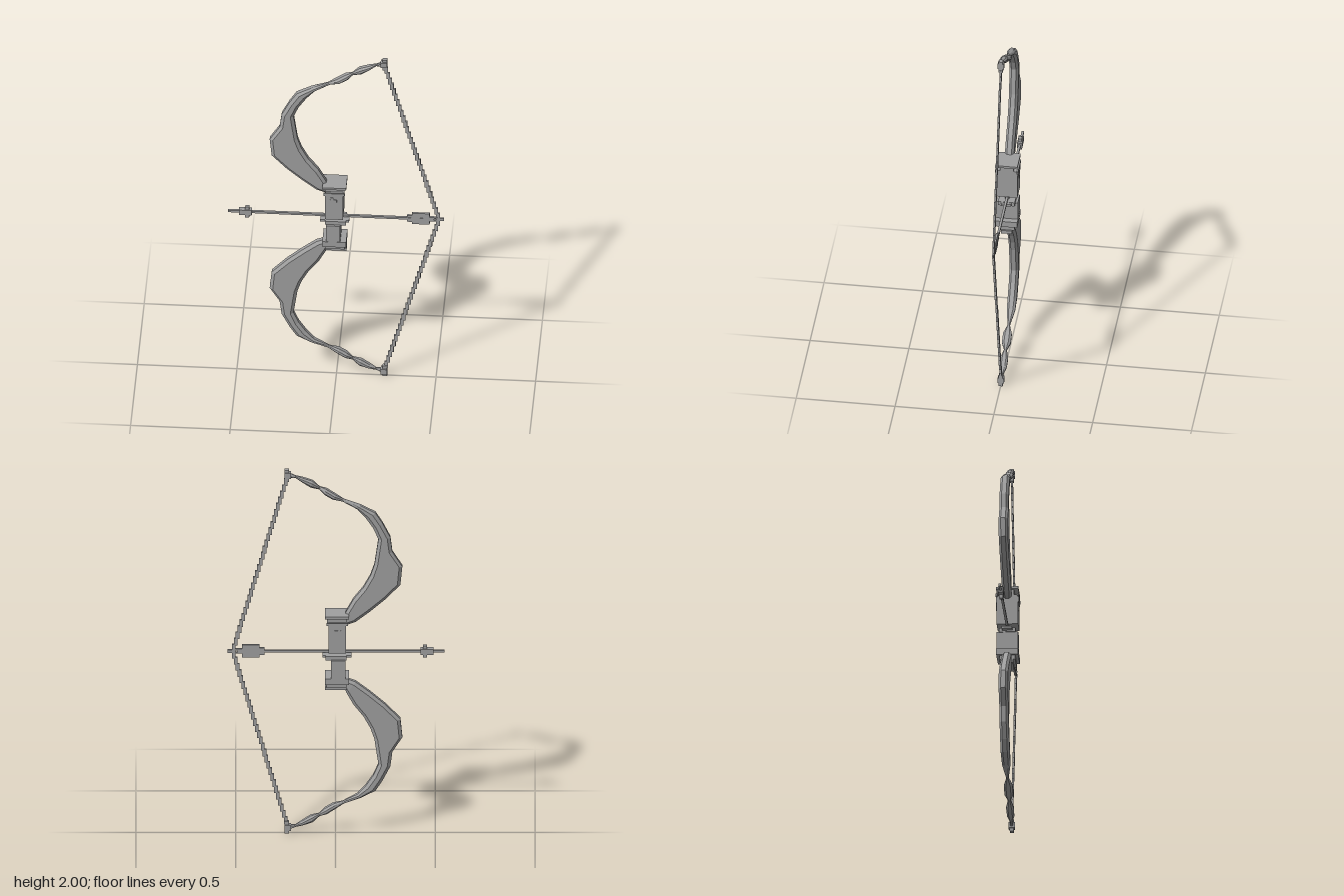
import * as THREE from 'three';

const grey = new THREE.MeshStandardMaterial({ color: 0xa0a0a0 });
grey.name = 'grey';

// Limb sections from grip to tip: outer x, y, inner x, y, half depth
const SECTIONS = [
  [-0.06, 1.15, -0.04, 1.19, 0.02], [-0.10, 1.165, -0.055, 1.225, 0.023],
  [-0.17, 1.22, -0.09, 1.29, 0.023], [-0.25, 1.29, -0.14, 1.355, 0.023],
  [-0.325, 1.37, -0.175, 1.42, 0.023], [-0.335, 1.47, -0.195, 1.48, 0.023],
  [-0.285, 1.55, -0.205, 1.55, 0.023], [-0.275, 1.63, -0.215, 1.62, 0.023],
  [-0.235, 1.71, -0.19, 1.68, 0.023], [-0.20, 1.765, -0.15, 1.74, 0.023],
  [-0.125, 1.805, -0.11, 1.785, 0.021], [-0.04, 1.84, -0.035, 1.825, 0.006],
  [0.0, 1.865, 0.015, 1.84, 0.022], [0.045, 1.895, 0.055, 1.865, 0.022],
  [0.08, 1.908, 0.082, 1.892, 0.007], [0.115, 1.94, 0.125, 1.905, 0.019],
  [0.165, 1.957, 0.17, 1.935, 0.018], [0.20, 1.968, 0.20, 1.955, 0.006],
  [0.24, 1.985, 0.24, 1.955, 0.01],
];

// Bevelled loft through the sections; side -1 mirrors it about y = 1
function limbGeometry(side) {
  const rings = SECTIONS.map(([ox, oy, ix, iy, h]) => {
    const bevel = Math.min(0.3, 0.016 / Math.hypot(ix - ox, iy - oy));
    const ring = [[0, -0.5], [0, 0.5], [bevel, 1], [1 - bevel, 1],
      [1, 0.5], [1, -0.5], [1 - bevel, -1], [bevel, -1]];
    return ring.map(([t, z]) =>
      [ox + (ix - ox) * t, 1 + side * (oy + (iy - oy) * t - 1), z * h]);
  });
  const pos = [];
  const tri = (a, b, c) => pos.push(...a, ...(side > 0 ? b : c), ...(side > 0 ? c : b));
  for (let i = 0; i + 1 < rings.length; i++) {
    for (let k = 0; k < 8; k++) {
      const n = (k + 1) % 8;
      tri(rings[i][k], rings[i][n], rings[i + 1][n]);
      tri(rings[i][k], rings[i + 1][n], rings[i + 1][k]);
    }
  }
  const first = rings[0], last = rings[rings.length - 1];
  for (let k = 1; k < 7; k++) {
    tri(first[0], first[k + 1], first[k]);
    tri(last[0], last[k], last[k + 1]);
  }
  const geo = new THREE.BufferGeometry();
  geo.setAttribute('position', new THREE.Float32BufferAttribute(pos, 3));
  geo.computeVertexNormals();
  return geo;
}

// Box given by its x range, y range and half depth
function box(parent, name, x0, x1, y0, y1, halfZ, z = 0) {
  const mesh = new THREE.Mesh(new THREE.BoxGeometry(x1 - x0, y1 - y0, halfZ * 2), grey);
  mesh.position.set((x0 + x1) / 2, (y0 + y1) / 2, z);
  mesh.name = name;
  parent.add(mesh);
}

function addGroup(parent, name) {
  const group = new THREE.Group();
  group.name = name;
  parent.add(group);
  return group;
}

export function createModel() {
  const bow = new THREE.Group();
  bow.name = 'bow';

  // Limbs, tips and stepped string, above and below
  for (const side of [1, -1]) {
    const label = side > 0 ? 'upper' : 'lower';
    const limb = new THREE.Mesh(limbGeometry(side), grey);
    limb.name = label + 'Limb';
    bow.add(limb);
    const span = (name, x0, x1, a, b, hz, parent = bow) =>
      box(parent, name, x0, x1, Math.min(1 + side * a, 1 + side * b),
        Math.max(1 + side * a, 1 + side * b), hz);
    span(label + 'Tip', 0.232, 0.255, 0.935, 1, 0.01);
    span(label + 'TipBand', 0.222, 0.252, 0.955, 0.985, 0.016);
    const string = addGroup(bow, label + 'String');
    const steps = 28;
    for (let i = 0; i < steps; i++) {
      const x = 0.515 - 0.27 * (i + 0.5) / steps;
      const y = 0.945 * i / steps;
      span('stringStep', x - 0.009, x + 0.009, y, y + 0.945 / steps + 0.005, 0.005, string);
    }
  }

  // Grip: two blocks with a slot for the arrow
  const grip = addGroup(bow, 'grip');
  box(grip, 'topCap', -0.068, 0.052, 1.2, 1.212, 0.056);
  box(grip, 'topNeck', -0.055, 0.042, 1.165, 1.2, 0.034);
  box(grip, 'upperBlock', -0.053, 0.036, 1.012, 1.172, 0.054);
  box(grip, 'core', -0.035, 0.02, 0.97, 1.02, 0.01);
  box(grip, 'slotFlange', -0.08, 0.065, 0.976, 0.988, 0.026);
  box(grip, 'slotNeck', -0.055, 0.05, 0.968, 0.99, 0.042);
  box(grip, 'lowerBlock', -0.05, 0.022, 0.84, 0.97, 0.054);
  box(grip, 'lowerBand', -0.068, 0.052, 0.838, 0.87, 0.055);
  box(grip, 'lowerNeck', -0.055, 0.044, 0.815, 0.84, 0.04);
  box(grip, 'bottomCap', -0.055, 0.052, 0.797, 0.815, 0.028);

  // Raised ornament on the front and back of the upper block
  const ornament = addGroup(grip, 'ornament');
  for (const z of [0.054, -0.054]) {
    box(ornament, 'ornamentBar', -0.062, 0.045, 1.163, 1.178, 0.004, z);
    box(ornament, 'ornamentLeaf', -0.048, -0.028, 1.135, 1.163, 0.004, z);
    box(ornament, 'ornamentStem', -0.026, -0.012, 1.1, 1.15, 0.004, z);
    box(ornament, 'ornamentCross', -0.035, 0.005, 1.122, 1.138, 0.004, z);
    box(ornament, 'ornamentLeaf', 0.006, 0.024, 1.14, 1.163, 0.004, z);
  }

  // Arrow
  const arrow = addGroup(bow, 'arrow');
  box(arrow, 'shaft', -0.545, 0.49, 0.994, 1.006, 0.006);
  box(arrow, 'head', -0.49, -0.425, 0.985, 1.015, 0.013);
  box(arrow, 'headBarb', -0.458, -0.438, 0.967, 1.033, 0.009);
  box(arrow, 'fletchingVane', 0.38, 0.468, 0.967, 1.035, 0.005);
  box(arrow, 'fletchingFront', 0.355, 0.38, 0.98, 1.02, 0.005);
  for (const y of [0.988, 1.006]) box(arrow, 'nockProng', 0.468, 0.512, y, y + 0.007, 0.006);
  box(arrow, 'nockEnd', 0.505, 0.54, 0.992, 1.008, 0.004);

  return bow;
}
